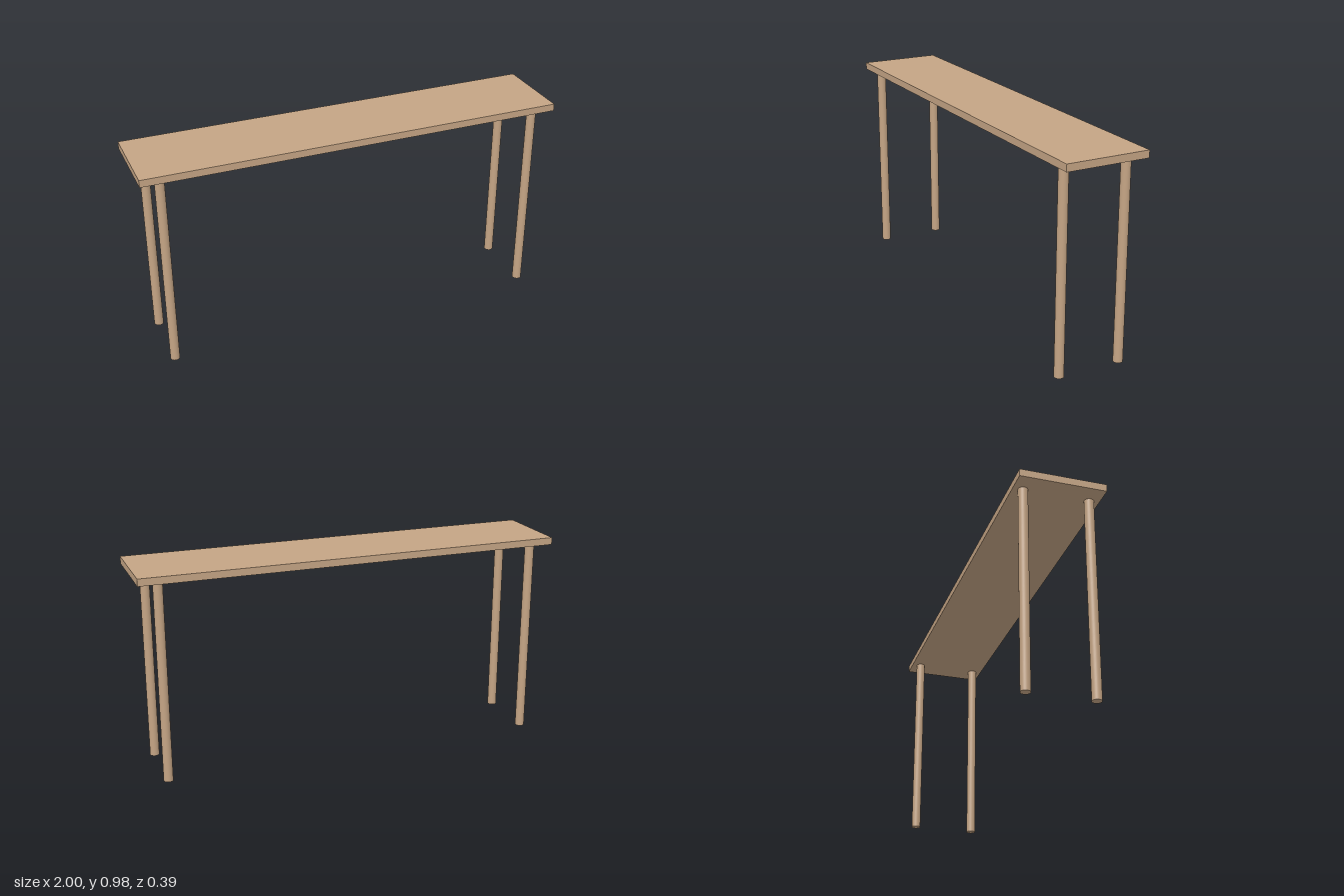
import * as THREE from 'three';

export function createModel() {
  const group = new THREE.Group();
  const wood = new THREE.MeshStandardMaterial({ color: 0xc4a484 });
  const legHeight = 0.942, topThickness = 0.034;

  // Flat rectangular top
  const top = new THREE.Mesh(new THREE.BoxGeometry(2, topThickness, 0.392), wood);
  top.name = 'tableTop';
  top.position.y = legHeight + topThickness / 2;
  group.add(top);

  // Four round legs, mirrored to the corners
  const legGeometry = new THREE.CylinderGeometry(0.022, 0.022, legHeight, 32);
  for (const [side, x] of [['Left', 0.905], ['Right', -0.905]]) {
    for (const [end, z] of [['front', 0.15], ['back', -0.15]]) {
      const leg = new THREE.Mesh(legGeometry, wood);
      leg.name = `${end}${side}Leg`;
      leg.position.set(x, legHeight / 2, z);
      group.add(leg);
    }
  }
  return group;
}
